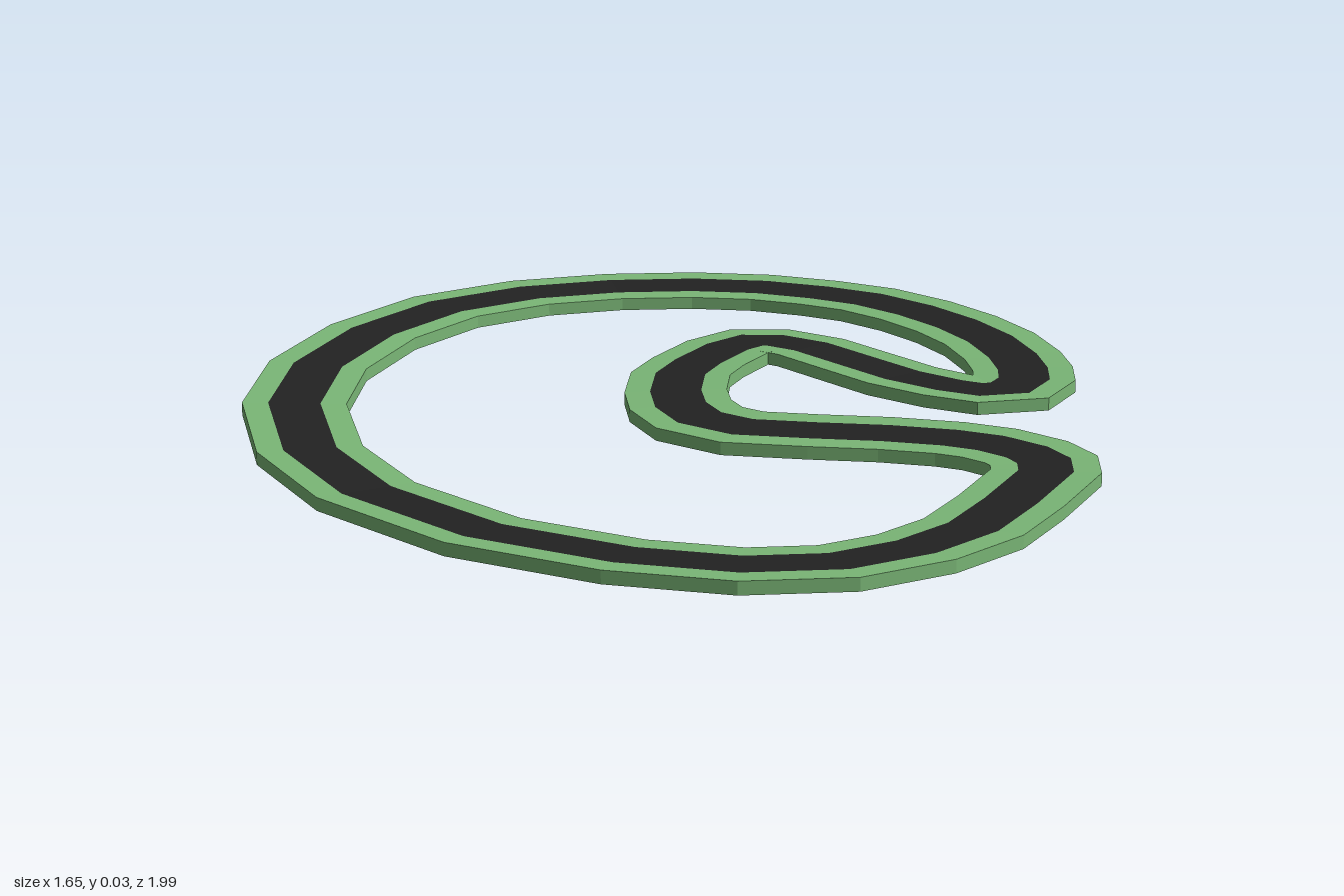
import * as THREE from 'three';

// Centre line of the circuit as [x, z], clockwise seen from above
const PATH = [
  [-0.06, -0.905], [0.065, -0.89], [0.175, -0.86], [0.285, -0.795], [0.385, -0.71], [0.47, -0.61],
  [0.535, -0.495], [0.57, -0.405], [0.585, -0.335], [0.57, -0.263], [0.52, -0.237], [0.458, -0.252],
  [0.358, -0.3], [0.255, -0.378], [0.145, -0.462], [0.067, -0.491], [0.022, -0.48], [-0.012, -0.42],
  [-0.04, -0.3], [-0.05, -0.205], [-0.028, -0.085], [0.005, 0.005], [0.06, 0.08], [0.15, 0.12],
  [0.28, 0.11], [0.408, 0.095], [0.525, 0.095], [0.6, 0.11], [0.672, 0.15], [0.71, 0.195],
  [0.724, 0.257], [0.695, 0.445], [0.66, 0.605], [0.59, 0.735], [0.485, 0.84], [0.337, 0.895],
  [0.142, 0.895], [-0.118, 0.827], [-0.378, 0.66], [-0.555, 0.45], [-0.685, 0.175], [-0.735, -0.092],
  [-0.717, -0.36], [-0.64, -0.585], [-0.508, -0.74], [-0.355, -0.835], [-0.2, -0.888],
].map(([x, z]) => new THREE.Vector2(x, z));

const HALF = 0.095;      // half width of the whole ribbon
const ROAD = 0.0475;     // half width of the asphalt
const THICK = 0.024;
const BANK = 0.006;      // the outer edge sits slightly higher than the inner

// Mitred sideways direction at every path point, pointing out of the loop
const sides = PATH.map((p, i) => {
  const n = PATH.length;
  const before = p.clone().sub(PATH[(i + n - 1) % n]).normalize();
  const after = PATH[(i + 1) % n].clone().sub(p).normalize();
  const t = before.clone().add(after).normalize();
  return new THREE.Vector2(t.y, -t.x).divideScalar(t.dot(after));
});

const level = (offset) => BANK * (offset + HALF) / (2 * HALF);
const top = (offset) => [offset, level(offset) + THICK];
const bottom = (offset) => [offset, level(offset)];

// Sweep a chain of [offset, height] points around the closed path
function sweep(chain) {
  const n = PATH.length;
  const at = (i, [offset, y]) => {
    const p = PATH[i % n], s = sides[i % n];
    return [p.x + s.x * offset, y, p.y + s.y * offset];
  };
  const pos = [];
  for (let i = 0; i < n; i++) {
    for (let k = 0; k < chain.length - 1; k++) {
      const a = at(i, chain[k]), b = at(i, chain[k + 1]);
      const c = at(i + 1, chain[k]), d = at(i + 1, chain[k + 1]);
      pos.push(...a, ...b, ...c, ...b, ...d, ...c);
    }
  }
  const g = new THREE.BufferGeometry();
  g.setAttribute('position', new THREE.Float32BufferAttribute(pos, 3));
  g.computeVertexNormals();
  return g;
}

export function createModel() {
  const group = new THREE.Group();
  group.name = 'raceTrack';
  const grass = new THREE.MeshStandardMaterial({ color: 0x7ab676, flatShading: true });
  const asphalt = new THREE.MeshStandardMaterial({ color: 0x222222, flatShading: true });
  const add = (name, chain, material) => {
    const mesh = new THREE.Mesh(sweep(chain), material);
    mesh.name = name;
    group.add(mesh);
  };

  // Verges: top, side wall and underside beside the road
  add('outerVerge', [bottom(ROAD), bottom(HALF), top(HALF), top(ROAD)], grass);
  add('innerVerge', [top(-ROAD), top(-HALF), bottom(-HALF), bottom(-ROAD)], grass);

  // Asphalt strip on both faces of the ribbon
  add('roadSurface', [top(ROAD), top(-ROAD)], asphalt);
  add('roadUnderside', [bottom(-ROAD), bottom(ROAD)], asphalt);
  return group;
}
